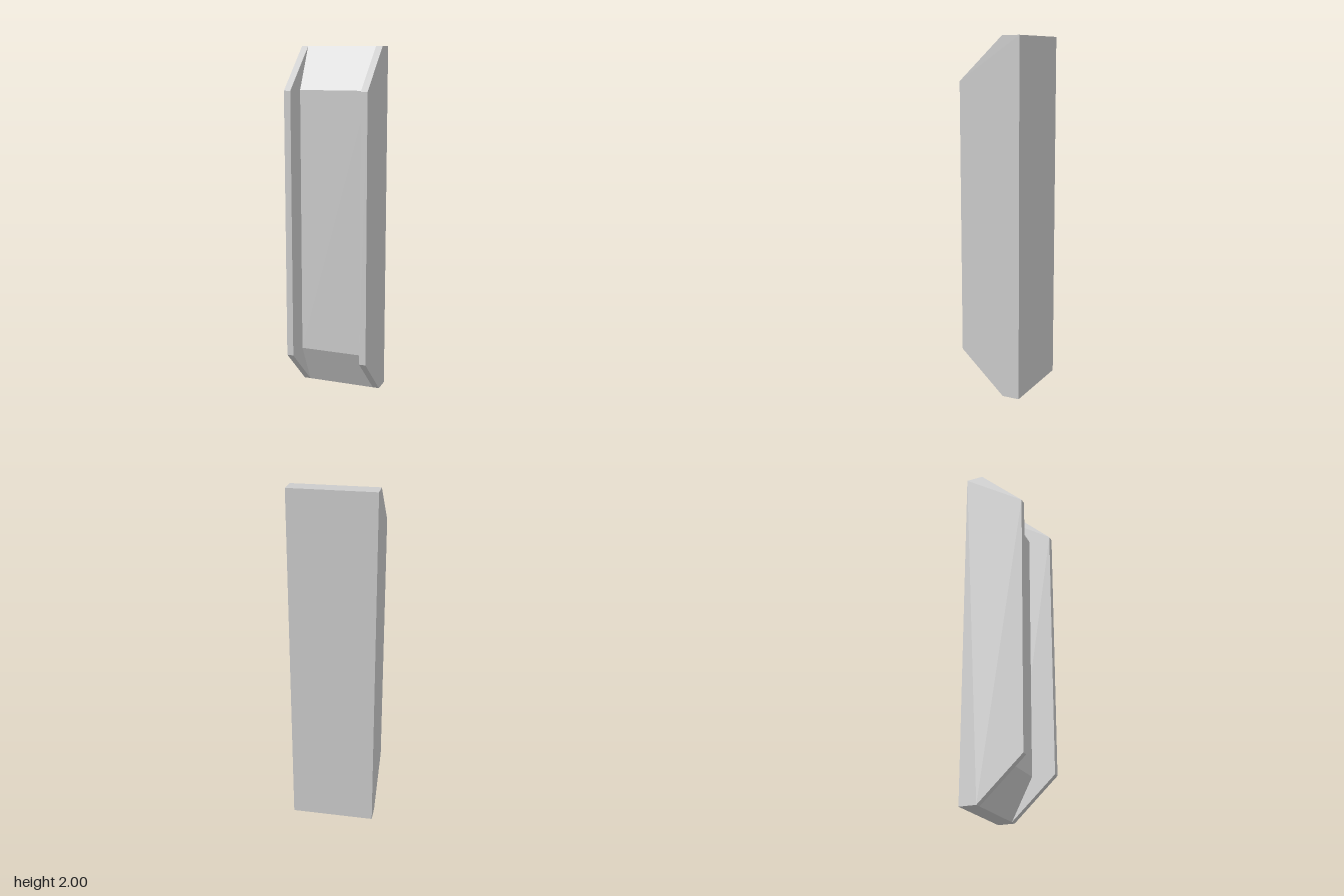
import * as THREE from 'three';

const HEIGHT = 2, BACK = -0.18, LIP = -0.08, CHAMFER = 0.24;
const HALF_WIDTH = 0.24, INNER = 0.202;

// Side profile with chamfered ends, reaching forward to z = front, extruded from x0 to x1
function chamferedSlab(name, front, x0, x1, material) {
  const profile = [
    [BACK, 0], [LIP, 0], [front, CHAMFER],
    [front, HEIGHT - CHAMFER], [LIP, HEIGHT], [BACK, HEIGHT],
  ];
  const shape = new THREE.Shape(profile.map(([z, y]) => new THREE.Vector2(-z, y)));
  const geometry = new THREE.ExtrudeGeometry(shape, { depth: x1 - x0, bevelEnabled: false });
  geometry.rotateY(Math.PI / 2).translate(x0, 0, 0);
  const mesh = new THREE.Mesh(geometry, material);
  mesh.name = name;
  return mesh;
}

export function createModel() {
  const group = new THREE.Group();
  group.name = 'channelPanel';
  const material = new THREE.MeshStandardMaterial({ color: 0xcccccc, flatShading: true });

  // Recessed centre panel between two deeper side rails
  group.add(
    chamferedSlab('centrePanel', 0.042, -INNER, INNER, material),
    chamferedSlab('leftRail', 0.178, INNER, HALF_WIDTH, material),
    chamferedSlab('rightRail', 0.178, -HALF_WIDTH, -INNER, material),
  );
  return group;
}
